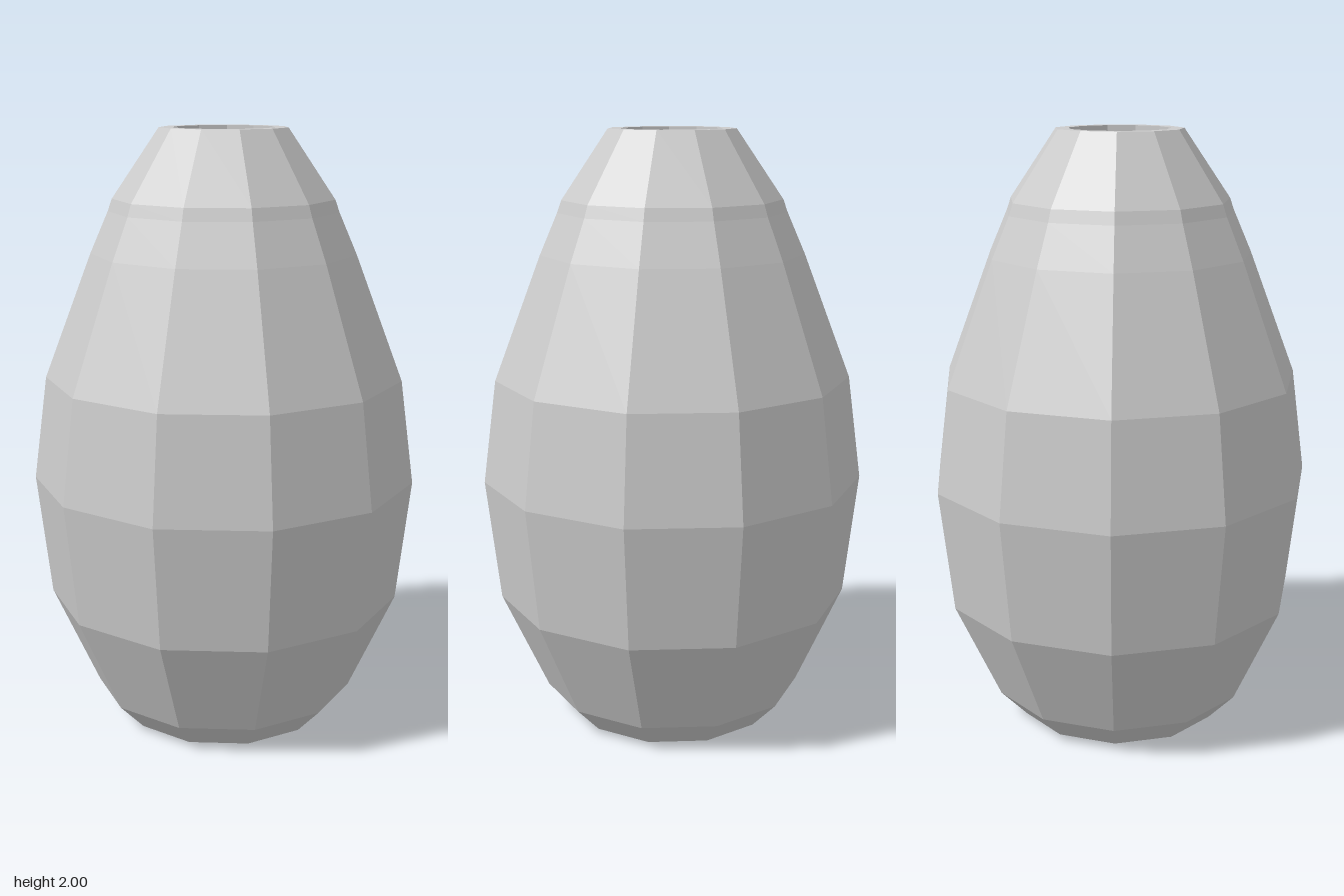
import * as THREE from 'three';

const SIDES = 11;
const OFFSET_X = -0.0145; // an odd number of sides: shift so the bounds are centred

// Eleven-sided turned part from [radius, height] points, with a corner on +x
function turned(name, profile, flatShading) {
  const points = profile.map(([r, y]) => new THREE.Vector2(r, y));
  const geometry = new THREE.LatheGeometry(points, SIDES, Math.PI / 2);
  const mesh = new THREE.Mesh(
    geometry,
    new THREE.MeshStandardMaterial({ color: 0xcccccc, flatShading })
  );
  mesh.name = name;
  mesh.position.x = OFFSET_X;
  return mesh;
}

export function createModel() {
  const group = new THREE.Group();
  group.name = 'vase';

  // Flat underside and the smooth-shaded bevel above it
  group.add(turned('underside', [[0, 0], [0.35, 0]], true));
  group.add(turned('baseBevel', [[0.35, 0], [0.44, 0.095]], false));

  // Faceted belly up to the shoulder
  group.add(turned('body', [
    [0.44, 0.095], [0.594, 0.435], [0.64, 0.845], [0.594, 1.19], [0.437, 1.6], [0.378, 1.735],
  ], true));

  // Steep step and tapering neck
  group.add(turned('neck', [[0.378, 1.735], [0.364, 1.775], [0.21, 2]], true));

  // Rim, inner wall and floor of the shallow mouth
  group.add(turned('mouth', [[0.21, 2], [0.167, 2], [0.167, 1.9], [0, 1.9]], true));

  return group;
}
